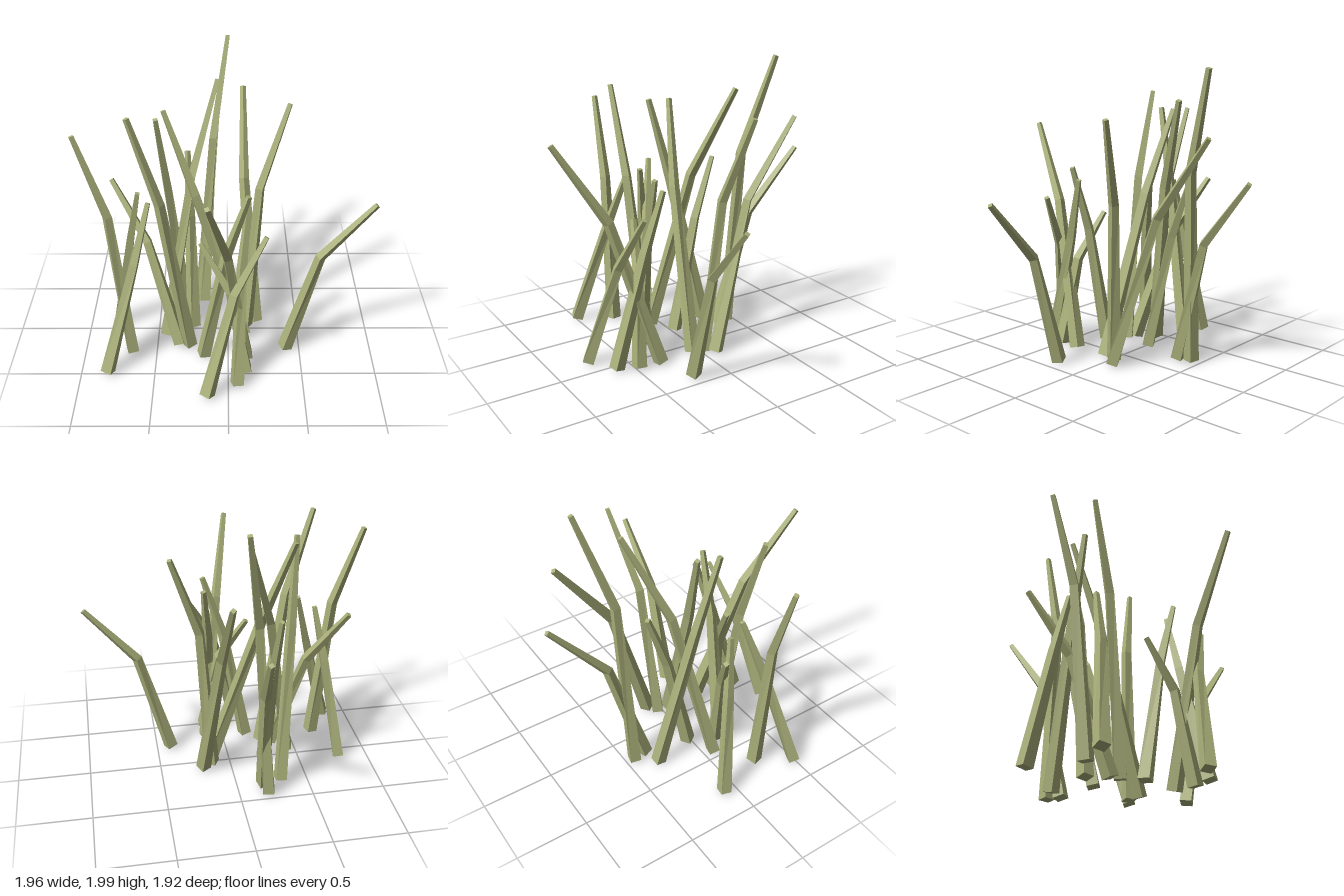
import * as THREE from 'three';

// Each stalk: base x, z; tip x, y, z; shares of the x and z lean reached at the bend
const STALKS = [
  [-0.20, -0.44, 0.00, 1.99, -0.69, 0.48, 0.18],
  [-0.18, -0.34, -0.08, 1.30, -0.95, 0.48, 0.39],
  [-0.44, 0.07, -0.07, 1.78, -0.41, 0.52, 0.48],
  [-0.31, -0.31, -0.46, 1.69, 0.05, 0.64, 0.62],
  [0.12, 0.06, -0.42, 1.69, -0.09, 0.63, 0.45],
  [-0.27, 0.20, -0.62, 1.79, 0.26, 0.49, 0.75],
  [-0.25, -0.02, -0.28, 1.27, -0.36, 0.55, 0.55],
  [0.13, -0.03, 0.41, 1.68, -0.22, 0.31, 0.42],
  [0.20, -0.08, 0.11, 1.58, -0.78, 0.95, 0.44],
  [-0.67, 0.26, -0.97, 1.65, 0.21, 0.37, 0.40],
  [-0.82, 0.49, -0.52, 1.17, 0.20, 0.67, 0.60],
  [-0.34, 0.18, -0.79, 1.17, -0.13, 0.47, 0.48],
  [-0.79, -0.09, -0.60, 1.16, 0.05, 0.62, 0.62],
  [0.40, 0.23, 0.96, 1.17, 0.23, 0.38, 0.38],
  [0.13, 0.32, -0.12, 1.55, 0.94, 0.54, 0.48],
  [-0.14, 0.73, 0.24, 1.09, 0.49, 0.47, 0.62],
  [-0.17, 0.31, 0.13, 1.30, 0.35, 0.53, 0.60],
  [0.06, 0.62, 0.13, 1.22, 0.29, 0.40, 0.64],
  [0.12, 0.48, -0.18, 0.95, 0.34, 0.37, 0.42],
];
const BASE_Y = 0.02;
const BEND_HEIGHT = 0.66;
const RADII = [0.053, 0.036, 0.02];
const UP = new THREE.Vector3(0, 1, 0);

// Tapered square tube from base through bend to tip, with closed ends
function stalkGeometry([baseX, baseZ, tipX, tipY, tipZ, shareX, shareZ]) {
  const base = new THREE.Vector3(baseX, BASE_Y, baseZ);
  const tip = new THREE.Vector3(tipX, tipY, tipZ);
  const bend = new THREE.Vector3(
    THREE.MathUtils.lerp(baseX, tipX, shareX),
    BEND_HEIGHT * tipY,
    THREE.MathUtils.lerp(baseZ, tipZ, shareZ),
  );
  const lower = bend.clone().sub(base).normalize();
  const upper = tip.clone().sub(bend).normalize();
  const middle = lower.clone().add(upper).normalize();
  const centres = [base, bend, tip];
  const lean = Math.atan2(tipZ - baseZ, tipX - baseX);

  // Three square rings, turned slightly at the foot
  const positions = [];
  [lower, middle, upper].forEach((dir, r) => {
    const turn = new THREE.Quaternion().setFromUnitVectors(UP, dir);
    for (let k = 0; k < 4; k++) {
      const a = lean + k * Math.PI / 2 + (r === 0 ? 0.35 : 0.15);
      const v = new THREE.Vector3(Math.cos(a), 0, Math.sin(a));
      v.multiplyScalar(RADII[r]).applyQuaternion(turn).add(centres[r]);
      positions.push(v.x, Math.max(0, v.y), v.z);
    }
  });

  // End caps, then the sides
  const index = [0, 1, 2, 0, 2, 3, 8, 10, 9, 8, 11, 10];
  for (let r = 0; r < 2; r++) {
    for (let k = 0; k < 4; k++) {
      const a = r * 4 + k, b = r * 4 + (k + 1) % 4;
      index.push(a, a + 4, b, b, a + 4, b + 4);
    }
  }
  const g = new THREE.BufferGeometry();
  g.setAttribute('position', new THREE.Float32BufferAttribute(positions, 3));
  g.setIndex(index);
  const flat = g.toNonIndexed();
  flat.computeVertexNormals();
  return flat;
}

export function createModel() {
  const group = new THREE.Group();
  group.name = 'grassClump';
  const dryGreen = new THREE.MeshStandardMaterial({ color: 0xaab07a });
  dryGreen.name = 'dryGreen';
  dryGreen.flatShading = true;
  STALKS.forEach((stalkSpec, i) => {
    const stalk = new THREE.Mesh(stalkGeometry(stalkSpec), dryGreen);
    stalk.name = `stalk${i + 1}`;
    group.add(stalk);
  });
  return group;
}
